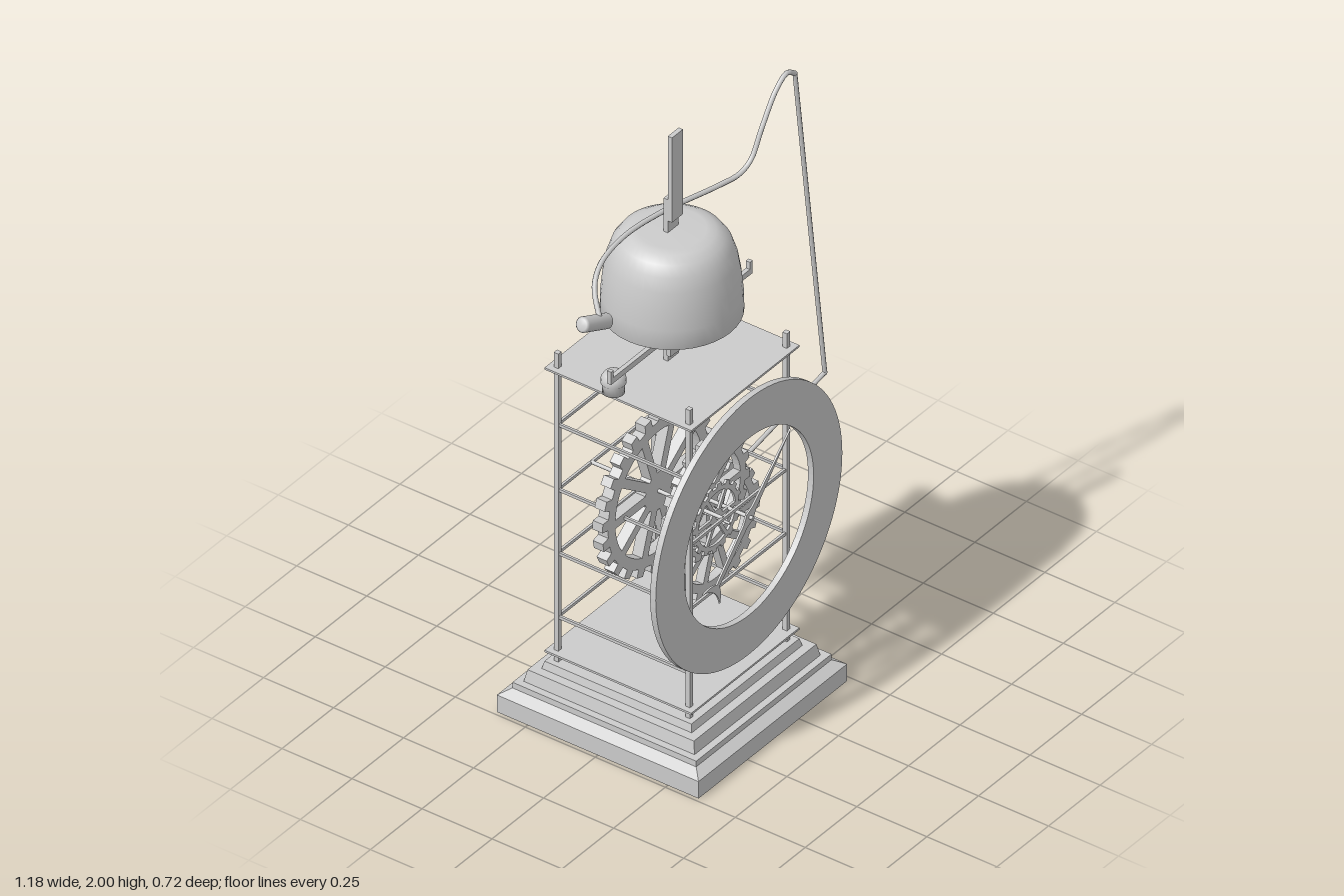
import * as THREE from 'three';

const CX = -0.128; // centre line of the clock
const mat = new THREE.MeshStandardMaterial({ color: 0xcccccc });
const flat = new THREE.MeshStandardMaterial({ color: 0xcccccc, flatShading: true });
const V = (x, y, z) => new THREE.Vector3(x, y, z);

export function createModel() {
  const model = new THREE.Group();
  const add = (name, geo, x = 0, y = 0, z = 0, m = mat) => {
    const mesh = new THREE.Mesh(geo, m);
    mesh.name = name;
    mesh.position.set(x, y, z);
    model.add(mesh);
    return mesh;
  };
  const box = (name, w, h, d, x, y, z) => add(name, new THREE.BoxGeometry(w, h, d), x, y, z);
  const extrude = (shape, depth, curveSegments = 24) =>
    new THREE.ExtrudeGeometry(shape, { depth, bevelEnabled: false, curveSegments });
  const points = (list) => list.map(([x, y]) => new THREE.Vector2(x, y));

  // Stepped square base: half width and height
  const steps = [[0, 0], [0.36, 0], [0.36, 0.06], [0.328, 0.08], [0.328, 0.1], [0.305, 0.1],
    [0.297, 0.14], [0.268, 0.14], [0.262, 0.165], [0, 0.165]];
  const profile = points(steps.map(([w, y]) => [w * Math.SQRT2, y]));
  add('base', new THREE.LatheGeometry(profile, 4, Math.PI / 4), CX, 0, 0, flat);

  // Corner posts, plates and cross rails
  const P = 0.235;
  for (const sx of [-1, 1]) {
    for (const sz of [-1, 1]) box('post', 0.016, 1.09, 0.016, CX + sx * P, 0.71, sz * P);
  }
  for (const y of [0.2, 1.2]) box('plate', 0.524, 0.007, 0.524, CX, y, 0);
  for (const y of [0.32, 0.545, 0.77, 1.0]) {
    for (const s of [-1, 1]) {
      box('crossRail', 2 * P, 0.01, 0.008, CX, y, s * P);
      box('sideRail', 0.008, 0.01, 2 * P, CX + s * P, y, 0);
    }
  }

  // Dial ring
  const ring = new THREE.Shape().absarc(0, 0, 0.452, 0, Math.PI * 2);
  ring.holes.push(new THREE.Path().absarc(0, 0, 0.313, 0, Math.PI * 2, true));
  add('dialRing', extrude(ring, 0.02, 48), CX, 0.718, 0.255);

  // Toothed wheel with wedge openings between straight spokes
  function gear(name, x, y, z, r, depth, teeth, spokes) {
    const root = r * 0.9, rim = r * 0.77, hub = r * 0.24, half = r * 0.055;
    const outline = [];
    const at = (rad, a) => new THREE.Vector2(rad * Math.cos(a), rad * Math.sin(a));
    const pitch = (Math.PI * 2) / teeth;
    for (let i = 0; i < teeth; i++) {
      for (const [rad, t] of [[root, 0], [root, 0.45], [r, 0.5], [r, 0.92]]) {
        outline.push(at(rad, (i + t) * pitch));
      }
    }
    const shape = new THREE.Shape(outline);
    const sector = (Math.PI * 2) / spokes;
    for (let i = 0; i < spokes; i++) {
      const hole = [];
      for (const [rad, dir] of [[rim, 1], [hub, -1]]) {
        const edge = Math.asin(half / rad);
        for (let k = 0; k <= 5; k++) {
          const t = dir > 0 ? k / 5 : 1 - k / 5;
          hole.push(at(rad, i * sector + edge + t * (sector - 2 * edge)));
        }
      }
      shape.holes.push(new THREE.Path(hole.reverse()));
    }
    add(name, extrude(shape, depth), x, y, z - depth / 2);
  }
  gear('greatWheel', -0.2, 0.772, -0.013, 0.272, 0.036, 24, 10);
  gear('lowerWheel', -0.008, 0.545, 0.055, 0.213, 0.028, 20, 10);
  gear('middleWheel', -0.108, 0.737, 0.104, 0.199, 0.026, 18, 8);
  gear('escapeWheel', -0.165, 0.733, 0.184, 0.117, 0.008, 16, 6);

  // Wheel arbors running front to back
  const arbor = (x, y, z0, z1, r = 0.006) => {
    const geo = new THREE.CylinderGeometry(r, r, z1 - z0, 10).rotateX(Math.PI / 2);
    add('arbor', geo, x, y, (z0 + z1) / 2);
  };
  arbor(-0.2, 0.772, -0.235, 0.235);
  arbor(-0.008, 0.545, -0.105, 0.1);
  arbor(-0.108, 0.735, 0.09, 0.275);
  arbor(-0.165, 0.733, 0.1, 0.235, 0.004);

  // Hand with a crescent tail
  const hand = new THREE.Shape(points([[-0.22, -0.008], [-0.03, -0.012], [0, -0.022], [0.03, -0.012],
    [0.28, 0], [0.03, 0.012], [0, 0.022], [-0.03, 0.012], [-0.22, 0.008]]));
  const crescent = new THREE.Shape().moveTo(-0.26, -0.055);
  crescent.quadraticCurveTo(-0.175, 0, -0.26, 0.055);
  crescent.quadraticCurveTo(-0.225, 0, -0.26, -0.055);
  add('hand', extrude([hand, crescent], 0.006), -0.108, 0.735, 0.258).rotation.z = Math.PI / 4;

  // Bell, hollow from below
  const bell = points([[0, 1.64], [0.1, 1.638], [0.14, 1.615], [0.17, 1.56], [0.187, 1.47], [0.192, 1.375],
    [0.208, 1.375], [0.207, 1.44], [0.201, 1.5], [0.191, 1.56], [0.176, 1.605], [0.155, 1.635],
    [0.128, 1.652], [0.1, 1.657], [0, 1.658]]);
  add('bell', new THREE.LatheGeometry(bell, 40), CX, 0, 0);

  // Two overlapping bars of the bell stand
  box('standBar', 0.053, 0.575, 0.015, CX, 1.4875, -0.003);
  box('standTopBar', 0.053, 0.3, 0.015, CX, 1.85, 0.012);

  // Cranked bracket, drawn as half an outline and mirrored
  const halfBracket = [[0.055, 1.247], [0.055, 1.315], [0.343, 1.315], [0.343, 1.36], [0.33, 1.36],
    [0.33, 1.335], [0.038, 1.335], [0.038, 1.265]];
  const mirrored = halfBracket.map(([x, y]) => [-x, y]).reverse();
  add('bracket', extrude(new THREE.Shape(points([...halfBracket, ...mirrored])), 0.014), CX, 0, 0.021);

  // Domed buffers under the bracket ends
  const buffer = points([[0, 0], [0.033, 0], [0.034, 0.03], [0.038, 0.035], [0.037, 0.052],
    [0.028, 0.066], [0.012, 0.073], [0, 0.074]]);
  for (const s of [-1, 1]) add('buffer', new THREE.LatheGeometry(buffer, 20), CX + s * 0.278, 1.238, -0.004);

  // Hammer wire: curved arm over the bell, then straight runs down to the wheels
  const arm = new THREE.CatmullRomCurve3([V(-0.505, 1.56, 0.02), V(-0.463, 1.63, -0.03), V(-0.4, 1.668, -0.053),
    V(-0.28, 1.69, -0.06), V(-0.12, 1.69, -0.044), V(0.1, 1.677, 0), V(0.18, 1.677, 0.014), V(0.225, 1.703, 0.021),
    V(0.275, 1.79, 0.024), V(0.345, 1.885, 0.024), V(0.395, 1.914, 0.024), V(0.435, 1.89, 0.024)]);
  add('hammerArm', new THREE.TubeGeometry(arm, 70, 0.008, 8), 0, 0, 0);
  const run = [V(0.435, 1.89, 0.024), V(0.58, 0.748, 0.024), V(0.15, 0.665, 0.024), V(0.1, 0.62, 0.024)];
  for (let i = 0; i < run.length - 1; i++) {
    add('pullWire', new THREE.TubeGeometry(new THREE.LineCurve3(run[i], run[i + 1]), 1, 0.007, 8));
    add('wireBend', new THREE.SphereGeometry(0.008, 8, 6), ...run[i].toArray());
  }

  // Hammer head
  const head = points([[0, -0.07], [0.018, -0.07], [0.024, -0.062], [0.024, 0.062], [0.018, 0.07], [0, 0.07]]);
  add('hammerHead', new THREE.LatheGeometry(head, 20), -0.521, 1.555, 0.013).rotation.z = Math.PI / 2 - 0.43;

  return model;
}
